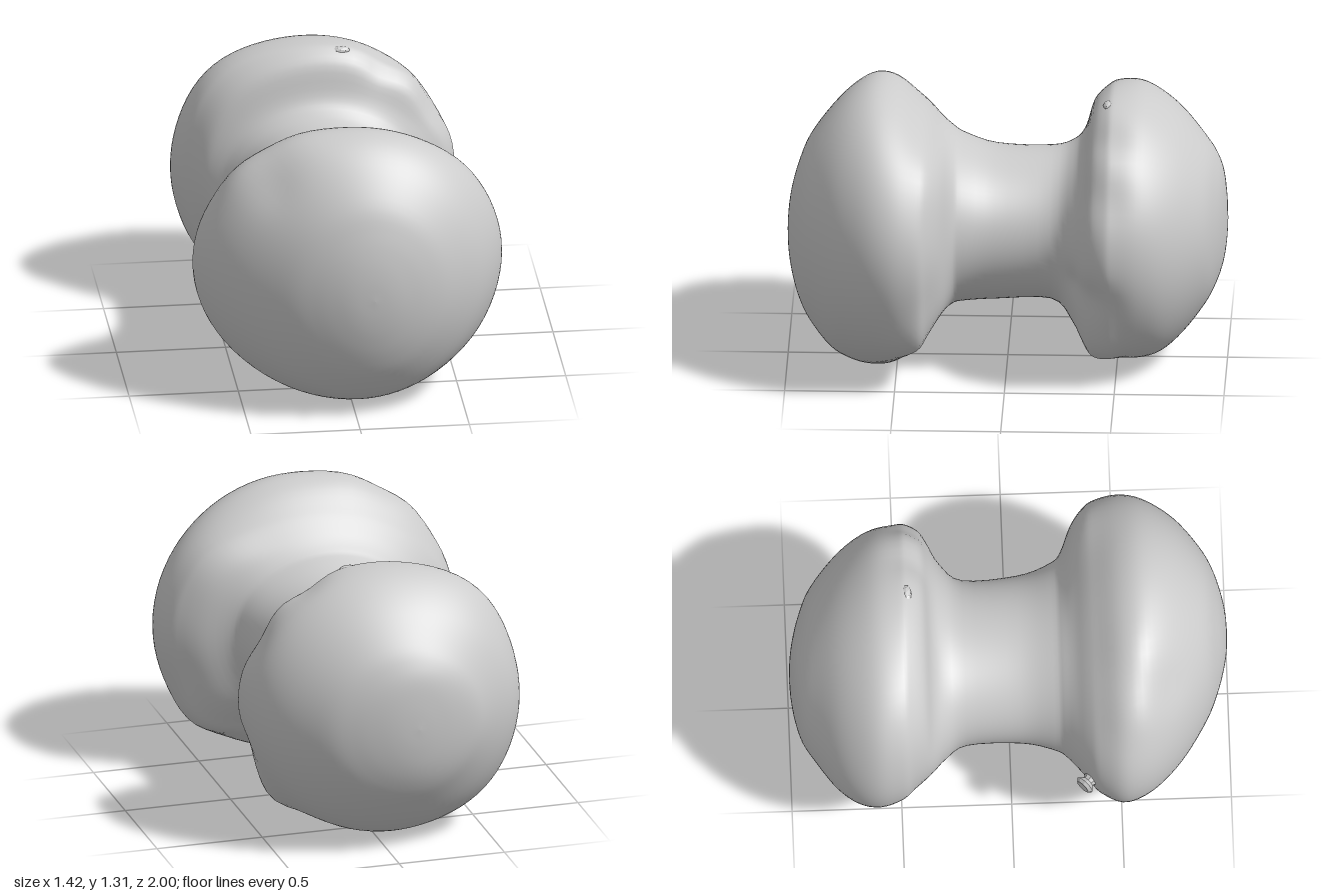
import * as THREE from 'three';

// Cross-sections from front to back: z, xMin, xMax, yMin, yMax
const SECTIONS = [
  [1.0, 0.07, 0.07, 0.63, 0.63],
  [0.995, -0.02, 0.15, 0.53, 0.73],
  [0.98, -0.1, 0.23, 0.43, 0.83],
  [0.95, -0.2, 0.33, 0.32, 0.94],
  [0.9, -0.32, 0.43, 0.21, 1.06],
  [0.8, -0.48, 0.56, 0.08, 1.19],
  [0.7, -0.6, 0.64, 0.02, 1.275],
  [0.6, -0.68, 0.69, 0.0, 1.31],
  [0.5, -0.71, 0.705, 0.02, 1.285],
  [0.4, -0.67, 0.68, 0.11, 1.21],
  [0.35, -0.62, 0.63, 0.19, 1.165],
  [0.3, -0.56, 0.55, 0.245, 1.11],
  [0.25, -0.5, 0.43, 0.27, 1.065],
  [0.2, -0.465, 0.39, 0.28, 1.035],
  [0.05, -0.42, 0.35, 0.288, 0.99],
  [-0.2, -0.42, 0.34, 0.29, 0.98],
  [-0.3, -0.47, 0.43, 0.21, 1.01],
  [-0.35, -0.52, 0.52, 0.16, 1.07],
  [-0.39, -0.56, 0.57, 0.1, 1.2],
  [-0.45, -0.61, 0.6, 0.06, 1.26],
  [-0.5, -0.65, 0.6, 0.035, 1.275],
  [-0.6, -0.68, 0.58, 0.02, 1.265],
  [-0.7, -0.66, 0.53, 0.045, 1.215],
  [-0.8, -0.59, 0.44, 0.13, 1.135],
  [-0.9, -0.46, 0.31, 0.26, 1.02],
  [-0.95, -0.38, 0.19, 0.35, 0.94],
  [-0.98, -0.28, 0.08, 0.44, 0.86],
  [-0.995, -0.18, -0.01, 0.54, 0.75],
  [-1.0, -0.1, -0.1, 0.64, 0.64],
];

// Soft dents (positive depth) and swellings (negative): x, y, z, radius, depth
const DENTS = [
  // back lobe
  [0.42, 0.5, -0.35, 0.09, 0.05],
  [0.51, 0.48, -0.42, 0.09, 0.04],
  [0.26, 1.14, -0.44, 0.1, 0.04],
  [0.53, 0.97, -0.42, 0.13, 0.03],
  [0.37, 0.22, -0.38, 0.15, -0.08],
  [-0.48, 1.1, -0.5, 0.26, -0.04],
  [-0.5, 0.2, -0.5, 0.24, -0.03],
  // front lobe
  [0.49, 0.27, 0.34, 0.17, -0.08],
  [0.45, 1.0, 0.28, 0.18, -0.045],
  [-0.36, 1.1, 0.72, 0.12, 0.02],
  [-0.25, 1.27, 0.58, 0.15, -0.015],
  [-0.5, 1.12, 0.58, 0.14, -0.02],
];

// Closed loft through elliptical rings
function loft(rings, segments) {
  const xs = new THREE.CatmullRomCurve3(
    SECTIONS.map(([z, a, b]) => new THREE.Vector3(z, a, b)), false, 'catmullrom', 0.5);
  const ys = new THREE.CatmullRomCurve3(
    SECTIONS.map(([z, , , a, b]) => new THREE.Vector3(z, a, b)), false, 'catmullrom', 0.5);
  const positions = [];
  const index = [];
  const p = new THREE.Vector3();
  const spot = new THREE.Vector3();

  for (let i = 0; i <= rings; i++) {
    const t = i / rings;
    const h = xs.getPoint(t);
    const v = ys.getPoint(t);
    const cx = (h.y + h.z) / 2, rx = (h.z - h.y) / 2;
    const cy = (v.y + v.z) / 2, ry = (v.z - v.y) / 2;
    for (let j = 0; j < segments; j++) {
      const a = (j / segments) * Math.PI * 2;
      const c = Math.cos(a), s = Math.sin(a);
      p.set(cx + rx * c, cy + ry * s, h.x);
      let push = 0;
      for (const [x, y, z, r, depth] of DENTS) {
        push += depth * Math.exp(-p.distanceToSquared(spot.set(x, y, z)) / (r * r));
      }
      positions.push(p.x - c * push, p.y - s * push, p.z);
    }
  }
  for (let i = 0; i < rings; i++) {
    for (let j = 0; j < segments; j++) {
      const k = (j + 1) % segments;
      const a = i * segments + j, b = i * segments + k;
      const c = a + segments, d = b + segments;
      index.push(a, c, b, b, c, d);
    }
  }
  const geometry = new THREE.BufferGeometry();
  geometry.setAttribute('position', new THREE.Float32BufferAttribute(positions, 3));
  geometry.setIndex(index);
  geometry.computeVertexNormals();
  return geometry;
}

export function createModel() {
  const model = new THREE.Group();
  model.name = 'doubleLobedForm';
  const smooth = new THREE.MeshStandardMaterial({ color: 0xcccccc });
  const faceted = new THREE.MeshStandardMaterial({ color: 0xcccccc, flatShading: true });

  // Two rounded lobes joined by a narrow waist
  const body = new THREE.Mesh(loft(112, 80), smooth);
  body.name = 'lobedBody';
  model.add(body);

  // Small flared nub on the inner face of the front lobe
  const profile = [[0.045, -0.05], [0.03, 0.0], [0.034, 0.025], [0.028, 0.04], [0.048, 0.06], [0.035, 0.075], [0, 0.068]]
    .map(([r, y]) => new THREE.Vector2(r, y));
  const nub = new THREE.Mesh(new THREE.LatheGeometry(profile, 9), faceted);
  nub.name = 'nub';
  nub.position.set(-0.61, 0.645, 0.37);
  nub.quaternion.setFromUnitVectors(
    new THREE.Vector3(0, 1, 0), new THREE.Vector3(-0.7, 0.0, -0.7).normalize());
  model.add(nub);

  // Little wrinkle on the upper edge of the back lobe
  const wrinkle = new THREE.Mesh(new THREE.IcosahedronGeometry(0.03, 1), faceted);
  wrinkle.name = 'wrinkle';
  wrinkle.scale.set(1.5, 0.7, 0.8);
  wrinkle.position.set(0.08, 1.245, -0.46);
  model.add(wrinkle);

  return model;
}
